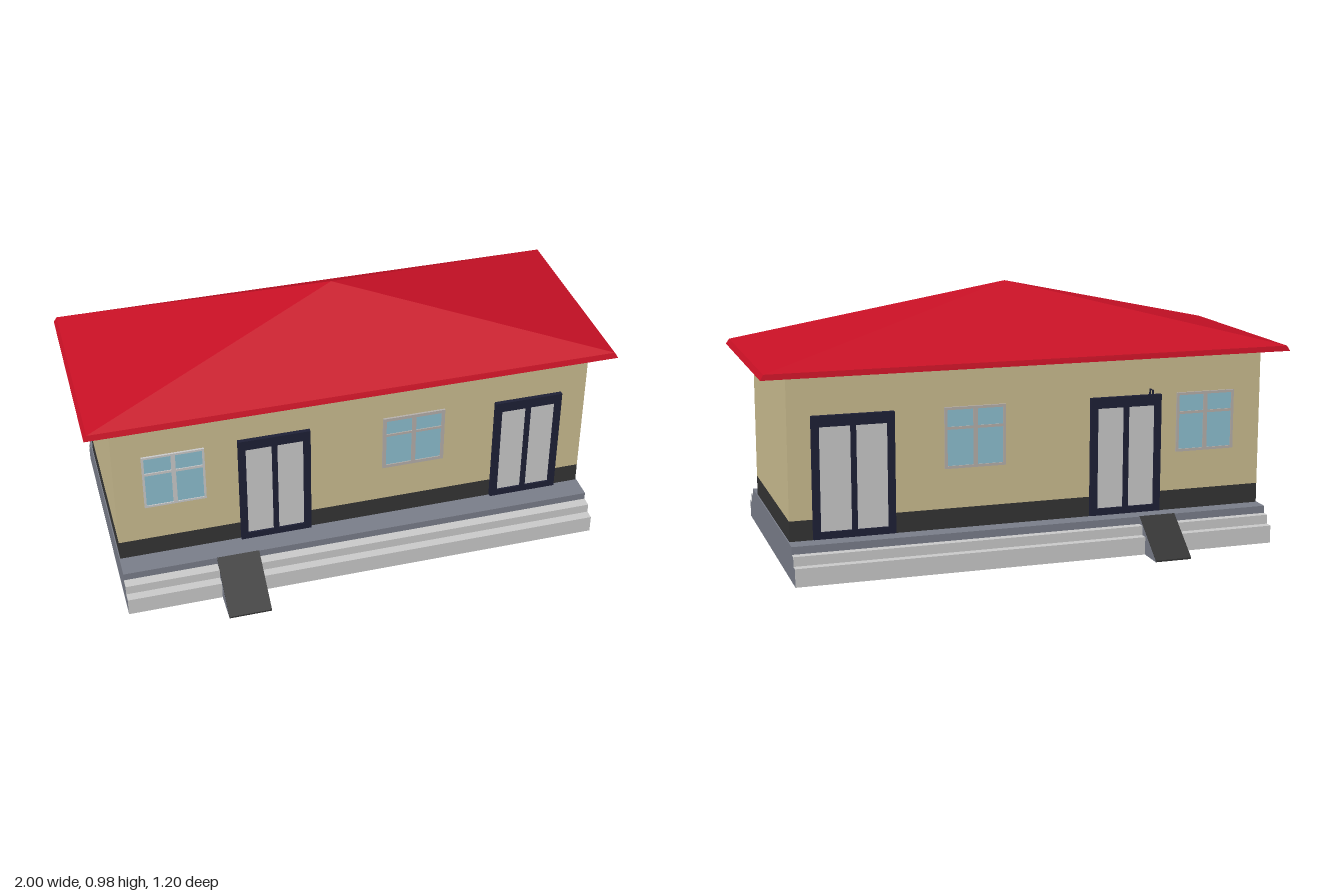
import * as THREE from 'three';

const mat = (name, color, side = THREE.FrontSide) => {
  const m = new THREE.MeshStandardMaterial({ color, side });
  m.name = name;
  return m;
};

export function createModel() {
  const house = new THREE.Group();
  house.name = 'house';
  const wall = mat('sandWall', 0xcbbd90);
  const red = mat('redRoof', 0xc81025);
  const dark = mat('charcoal', 0x343434);
  const stone = mat('blueGrayStone', 0x7a7e8a);
  const pale = mat('paleGray', 0xcacaca);
  const navy = mat('navyFrame', 0x1e2036);
  const glass = mat('blueGlass', 0x8dbfd0);
  const soffit = mat('soffitGray', 0xb6b0ab);

  const add = (name, geometry, material, parent = house) => {
    const mesh = new THREE.Mesh(geometry, material);
    mesh.name = name;
    parent.add(mesh);
    return mesh;
  };
  // Box given by its limits on each axis
  const box = (name, material, x0, x1, y0, y1, z0, z1, parent) =>
    add(name, new THREE.BoxGeometry(x1 - x0, y1 - y0, z1 - z0)
      .translate((x0 + x1) / 2, (y0 + y1) / 2, (z0 + z1) / 2), material, parent);
  // Profile of [z, y] points swept from x0 to x1
  const sweep = (name, material, points, x0, x1) => {
    const shape = new THREE.Shape(points.map(([z, y]) => new THREE.Vector2(z, y)));
    const geo = new THREE.ExtrudeGeometry(shape, { depth: x1 - x0, bevelEnabled: false });
    return add(name, geo.rotateY(-Math.PI / 2).translate(x1, 0, 0), material);
  };

  // Stepped plinth with pale treads and risers
  const X0 = -0.912, X1 = 0.908;
  sweep('plinth', stone, [
    [0.478, 0], [0.478, 0.065], [0.443, 0.065], [0.443, 0.1], [0.406, 0.1], [0.406, 0.13],
    [-0.442, 0.13], [-0.442, 0.1], [-0.469, 0.1], [-0.469, 0.065], [-0.498, 0.065], [-0.498, 0],
  ], X0, X1);
  const t = 0.002;
  for (const [s, a, b, c] of [[1, 0.406, 0.443, 0.478], [-1, 0.442, 0.469, 0.498]]) {
    const plate = (name, y0, y1, z0, z1) =>
      box(name, pale, X0, X1, y0, y1, Math.min(s * z0, s * z1), Math.max(s * z0, s * z1));
    plate('lowerRiser', 0, 0.065, c, c + t);
    plate('lowerTread', 0.065, 0.065 + t, b, c + t);
    plate('upperRiser', 0.065, 0.1, b, b + t);
    plate('upperTread', 0.1, 0.1 + t, a, b + t);
  }

  // Entrance ramps: sloping dark deck between two stone cheeks, open below
  const ramp = (name, x0, x1, zTop, zEnd) => {
    const side = [[zTop, 0], [zEnd, 0], [zEnd, 0.004], [zTop, 0.13]];
    sweep(name + 'RightCheek', stone, side, x0, x0 + 0.003);
    sweep(name + 'LeftCheek', stone, side, x1 - 0.003, x1);
    sweep(name + 'Deck', dark, [[zTop, 0.124], [zEnd, 0], [zEnd, 0.006], [zTop, 0.132]], x0, x1);
  };
  ramp('frontRamp', -0.56, -0.4, 0.406, 0.6);
  ramp('backRamp', -0.54, -0.4, -0.442, -0.603);

  // Walls over a dark base band
  box('baseBand', dark, -0.908, 0.904, 0.13, 0.205, -0.379, 0.315);
  box('walls', wall, -0.908, 0.904, 0.205, 0.727, -0.379, 0.315);

  // Hipped roof: bevelled eave ring rising to a single peak
  const ring = (x, z0, z1, y) => [[-x, y, z1], [x, y, z1], [x, y, z0], [-x, y, z0]];
  const low = ring(1, -0.44, 0.368, 0.725);
  const high = ring(0.988, -0.436, 0.36, 0.745);
  const peak = [0, 0.982, -0.037];
  const faces = (list) => {
    const g = new THREE.BufferGeometry();
    g.setAttribute('position', new THREE.Float32BufferAttribute(list.flat(), 3));
    g.computeVertexNormals();
    return g;
  };
  const slopes = [], fascia = [];
  for (let i = 0; i < 4; i++) {
    const j = (i + 1) % 4;
    slopes.push(high[i], high[j], peak);
    fascia.push(low[i], low[j], high[j], low[i], high[j], high[i]);
  }
  add('roofSlopes', faces(slopes), red);
  add('roofFascia', faces(fascia), red);
  add('soffit', faces([low[0], low[2], low[1], low[0], low[3], low[2]]), soffit);

  // Frame with a grid of openings, backed by a thin panel
  const opening = (name, o, parent) => {
    const { x0, x1, y0, y1, rim, bar, rows, depth, frame, panel } = o;
    const g = new THREE.Group();
    g.name = name;
    parent.add(g);
    const rect = (Type, a, b, c, d) => new Type([[a, c], [b, c], [b, d], [a, d]]
      .map(([x, y]) => new THREE.Vector2(x, y)));
    const shape = rect(THREE.Shape, x0, x1, y0, y1);
    const mid = (x0 + x1) / 2;
    for (const [a, b] of [[x0 + rim, mid - bar / 2], [mid + bar / 2, x1 - rim]])
      for (const [c, d] of rows) shape.holes.push(rect(THREE.Path, a, b, c, d));
    add(name + 'Frame', new THREE.ExtrudeGeometry(shape, { depth, bevelEnabled: false }), frame, g);
    box(name + 'Panel', panel, x0 + rim / 2, x1 - rim / 2, y0 + rim / 2, y1 - rim / 2, 0, depth * 0.55, g);
  };
  const door = (name, x0, x1, top, parent) => opening(name, {
    x0, x1, y0: 0.134, y1: top, rim: 0.027, bar: 0.02, rows: [[0.16, top - 0.04]],
    depth: 0.016, frame: navy, panel: pale,
  }, parent);
  const windowUnit = (name, x0, x1, rim, frame, parent) => opening(name, {
    x0, x1, y0: 0.354, y1: 0.58, rim, bar: 0.016, rows: [[0.354 + rim, 0.498], [0.508, 0.58 - rim]],
    depth: 0.008, frame, panel: glass,
  }, parent);

  // Front openings
  const front = new THREE.Group();
  front.name = 'frontOpenings';
  front.position.z = 0.315;
  house.add(front);
  windowUnit('frontRightWindow', -0.802, -0.572, 0.008, pale, front);
  door('frontRightDoor', -0.449, -0.178, 0.588, front);
  windowUnit('frontLeftWindow', 0.102, 0.342, 0.013, soffit, front);
  door('frontLeftDoor', 0.54, 0.805, 0.572, front);

  // Back openings, turned to face the rear (local x runs the other way)
  const back = new THREE.Group();
  back.name = 'backOpenings';
  back.position.z = -0.379;
  back.rotation.y = Math.PI;
  house.add(back);
  door('backLeftDoor', -0.82, -0.52, 0.58, back);
  windowUnit('backLeftWindow', -0.335, -0.105, 0.01, soffit, back);
  door('backRightDoor', 0.222, 0.5, 0.58, back);
  windowUnit('backRightWindow', 0.566, 0.798, 0.01, soffit, back);

  // Pair of small handle brackets behind the rear door
  for (const [spine, tip] of [[-0.473, -0.481], [-0.499, -0.491]]) {
    const z0 = Math.min(spine, tip), z1 = Math.max(spine, tip);
    box('bracketSpine', navy, -0.423, -0.417, 0.595, 0.621, spine - 0.002, spine + 0.002);
    for (const y of [0.595, 0.617]) box('bracketArm', navy, -0.423, -0.417, y, y + 0.004, z0, z1);
  }
  return house;
}
